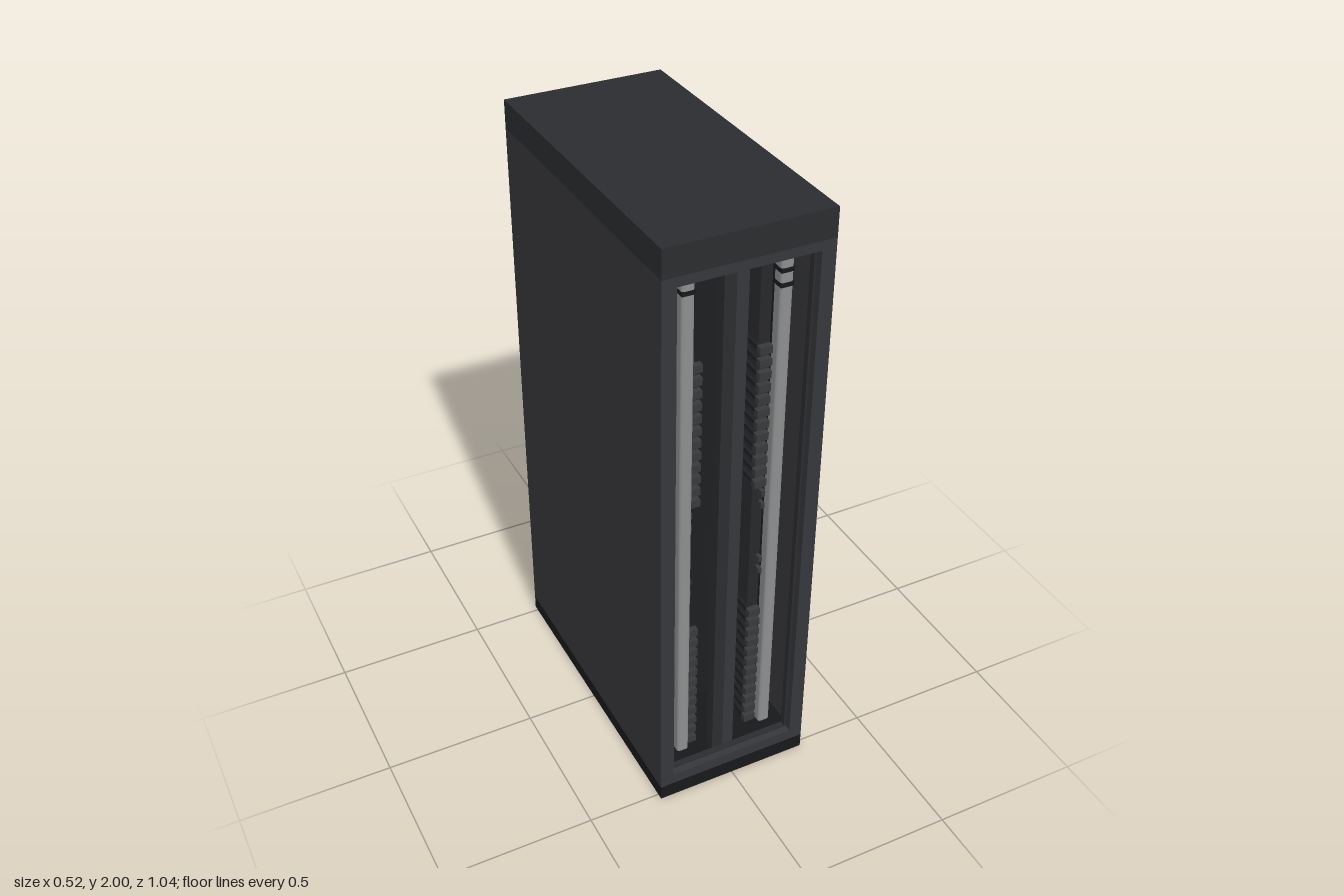
import * as THREE from 'three';
import { RoundedBoxGeometry } from 'three/addons/geometries/RoundedBoxGeometry.js';

const mat = (color) => new THREE.MeshStandardMaterial({ color, side: THREE.DoubleSide });
const M = {
  panel: mat(0x36373a), trim: mat(0x2b2c2f), base: mat(0x17181a), dark: mat(0x1d1e20),
  bay: mat(0x2a2b2d), cable: mat(0x38393b), grey: mat(0x666769), metal: mat(0x8c8d8e), blank: mat(0x27282b),
};

function box(parent, name, m, w, h, d, x, y, z) {
  const mesh = new THREE.Mesh(new THREE.BoxGeometry(w, h, d), m);
  mesh.name = name;
  mesh.position.set(x, y, z);
  parent.add(mesh);
  return mesh;
}

// Rectangular frame with an opening, extruded along z
function frame(parent, name, m, w, y0, y1, iw, iy0, iy1, depth, z) {
  const s = new THREE.Shape();
  s.moveTo(-w, y0).lineTo(w, y0).lineTo(w, y1).lineTo(-w, y1).closePath();
  const h = new THREE.Path();
  h.moveTo(-iw, iy0).lineTo(-iw, iy1).lineTo(iw, iy1).lineTo(iw, iy0).closePath();
  s.holes.push(h);
  const mesh = new THREE.Mesh(new THREE.ExtrudeGeometry(s, { depth, bevelEnabled: false }), m);
  mesh.name = name;
  mesh.position.z = z;
  parent.add(mesh);
}

const U = 0.0421, Y0 = 0.1;      // height of one slot, bottom of the first slot
const FACE = -0.485;             // plane of the equipment faces at the back

// One-slot server: chassis, ears, two rows of drive bays and a control module
function server(wide) {
  const g = new THREE.Group();
  g.name = 'server';
  box(g, 'chassis', M.dark, 0.4, U * 0.94, 0.66, 0, 0, FACE + 0.34);
  for (const s of [-1, 1]) {
    box(g, 'mountingEar', M.grey, 0.016, U * 0.8, 0.014, s * 0.202, 0, FACE + 0.004);
    box(g, 'handle', M.cable, 0.016, U * 0.55, 0.012, s * 0.182, 0, FACE + 0.002);
  }
  const cols = wide ? 4 : 5;
  const pitch = 0.34 / cols;
  for (let c = 0; c < cols; c++) for (const r of [-1, 1]) {
    box(g, 'driveBay', M.bay, pitch * 0.9, U * 0.32, 0.012,
      0.17 - (c + 0.5) * pitch, r * U * 0.22, FACE + 0.006);
  }
  if (!wide) box(g, 'controlModule', M.grey, 0.034, U * 0.5, 0.008, -0.056, 0, FACE - 0.001);
  return g;
}

// Two-slot storage unit with a grid of pale drive carriers
function storage() {
  const g = new THREE.Group();
  g.name = 'storageUnit';
  box(g, 'chassis', M.dark, 0.42, U * 1.94, 0.66, 0, 0, FACE + 0.34);
  for (let c = 0; c < 6; c++) for (let r = 0; r < 3; r++) {
    const x = (c - 2.5) * 0.069, y = (r - 1) * U * 0.63;
    box(g, 'driveCarrier', M.grey, 0.064, U * 0.54, 0.014, x, y, FACE + 0.006);
    box(g, 'carrierLatch', M.cable, 0.04, U * 0.12, 0.004, x, y, FACE - 0.002);
  }
  return g;
}

// One-slot network switch with two rows of ports
function networkSwitch() {
  const g = new THREE.Group();
  g.name = 'networkSwitch';
  box(g, 'chassis', M.bay, 0.42, U * 0.94, 0.4, 0, 0, FACE + 0.2);
  for (let c = 0; c < 16; c++) for (const r of [-1, 1]) {
    box(g, 'port', M.base, 0.014, U * 0.28, 0.006, 0.14 - c * 0.018, r * U * 0.2, FACE - 0.001);
  }
  box(g, 'statusPanel', M.grey, 0.03, U * 0.5, 0.006, -0.175, 0, FACE - 0.001);
  return g;
}

export function createModel() {
  const root = new THREE.Group();
  root.name = 'serverRack';

  // Cabinet
  box(root, 'base', M.base, 0.52, 0.052, 1.04, 0, 0.026, 0);
  box(root, 'roof', M.trim, 0.52, 0.09, 1.04, 0, 1.955, 0);
  for (const s of [-1, 1]) {
    box(root, 'sidePanel', M.panel, 0.015, 1.86, 1.04, s * 0.2525, 0.98, 0);
  }
  frame(root, 'frontFrame', M.panel, 0.25, 0.052, 1.91, 0.215, 0.09, 1.88, 0.025, 0.495);
  frame(root, 'frontInnerFrame', M.trim, 0.245, 0.052, 1.91, 0.208, 0.094, 1.882, 0.02, 0.475);
  frame(root, 'backFrame', M.trim, 0.25, 0.052, 1.91, 0.238, 0.085, 1.885, 0.03, -0.52);

  // Mounting rails
  for (const s of [-1, 1]) {
    box(root, 'backRail', M.grey, 0.02, 1.84, 0.02, s * 0.224, 0.98, -0.465);
    box(root, 'frontRail', M.dark, 0.03, 1.84, 0.03, s * 0.225, 0.98, 0.3);
  }

  // Equipment stack from the bottom up: type and number of slots
  const stack = [['servers', 12], ['blank', 3], ['storage', 2], ['blank', 4],
    ['storage', 2], ['servers', 12], ['blank', 6], ['switch', 1]];
  let slot = 0;
  for (const [type, n] of stack) {
    const yc = Y0 + (slot + n / 2) * U;
    if (type === 'servers') {
      for (let i = 0; i < n; i++) {
        const y = Y0 + (slot + i + 0.5) * U;
        const unit = server(i < 3);
        unit.position.y = y;
        root.add(unit);
        // Power cable loops on both sides at the front
        for (const s of [-1, 1]) {
          box(root, 'powerPlug', M.cable, 0.04, 0.025, 0.02, s * 0.11, y, 0.425);
          box(root, 'powerCable', M.dark, 0.012, 0.012, 0.25, s * 0.1, y, 0.3);
        }
      }
    } else if (type === 'blank') {
      box(root, 'blankPanel', M.blank, 0.42, n * U * 0.99, 0.02, 0, yc, FACE + 0.01);
    } else {
      const unit = type === 'storage' ? storage() : networkSwitch();
      unit.position.y = yc;
      root.add(unit);
      if (type === 'storage') for (const s of [-1, 1]) for (const r of [-1, 1]) {
        box(root, 'smallPlug', M.cable, 0.012, 0.02, 0.02, s * 0.122, yc + r * 0.022, 0.425);
      }
    }
    slot += n;
  }

  // Inner back wall, behind the cabling
  box(root, 'innerWall', M.dark, 0.44, 1.84, 0.01, 0, 0.98, 0.2);

  // Central cable duct, made of two strips
  box(root, 'ductRight', M.trim, 0.038, 1.84, 0.04, -0.019, 0.98, 0.43);
  box(root, 'ductLeft', M.panel, 0.038, 1.84, 0.04, 0.019, 0.98, 0.43);

  // Power strips with dark bands near the top
  for (const s of [-1, 1]) {
    const strip = new THREE.Mesh(new RoundedBoxGeometry(0.04, 1.785, 0.04, 3, 0.009), M.metal);
    strip.name = 'powerStrip';
    strip.position.set(s * 0.15, 1.0025, 0.44);
    root.add(strip);
    for (const y of s < 0 ? [1.815] : [1.81, 1.765]) {
      box(root, 'powerStripBand', M.base, 0.041, 0.014, 0.042, s * 0.15, y, 0.44);
    }
  }
  return root;
}
